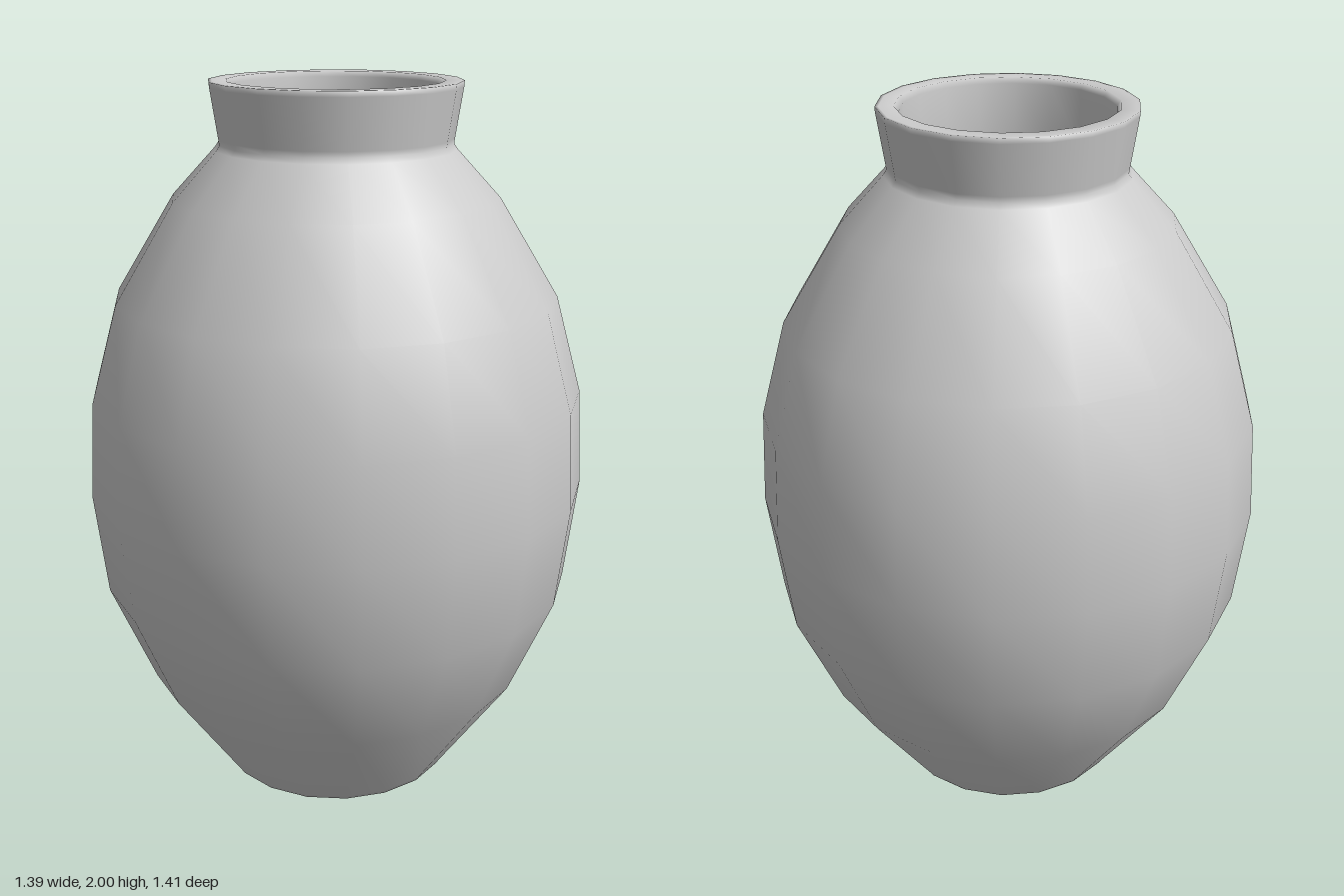
import * as THREE from 'three';

const SIDES = 18;
const START = -0.014; // slight twist of the facets

export function createModel() {
  const group = new THREE.Group();
  group.name = 'vase';
  const material = new THREE.MeshStandardMaterial({ color: 0xcccccc });

  // One closed wall: base, outside, rim, then back down the inside.
  // Close pairs of points keep the edges crisp under smooth shading.
  const profile = [
    // underside and foot
    [0, 0], [0.315, 0], [0.333, 0], [0.342, 0.014],
    // belly
    [0.545, 0.3], [0.67, 0.59], [0.705, 0.88], [0.69, 1.15], [0.615, 1.42], [0.45, 1.69],
    // neck, flaring to the rim
    [0.33, 1.82], [0.32, 1.835], [0.322, 1.85], [0.343, 1.985], [0.344, 2],
    [0.335, 2], [0.295, 2], [0.284, 1.985],
    // inside
    [0.28, 1.84], [0.29, 1.8], [0.41, 1.66], [0.565, 1.4], [0.64, 1.14], [0.655, 0.88],
    [0.62, 0.6], [0.5, 0.32], [0.33, 0.07], [0.31, 0.05], [0, 0.05],
  ].map(([r, y]) => new THREE.Vector2(r, y));

  const body = new THREE.Mesh(new THREE.LatheGeometry(profile, SIDES, START), material);
  body.name = 'vaseBody';
  group.add(body);
  return group;
}
